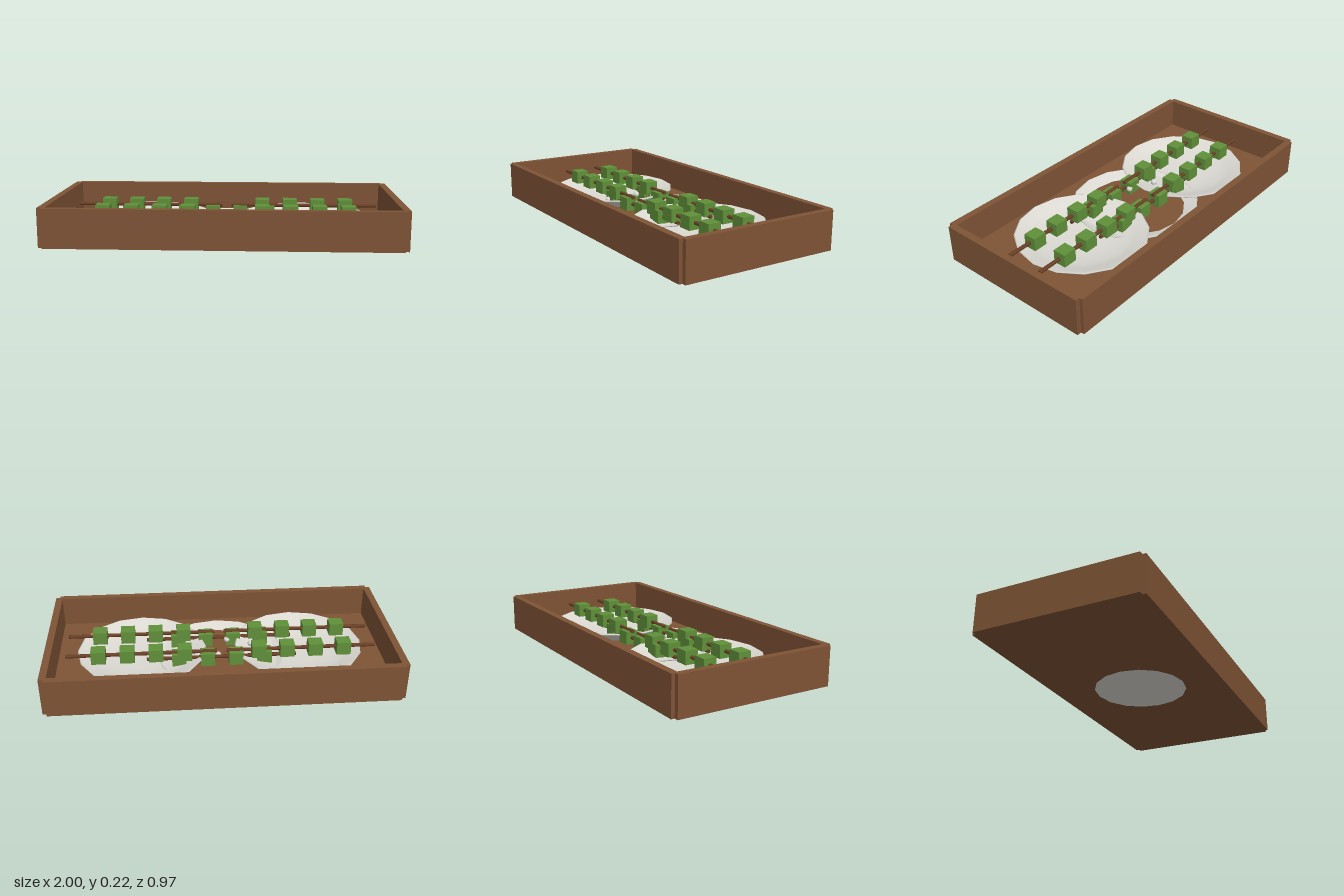
import * as THREE from 'three';

export function createModel() {
  const root = new THREE.Group();
  root.name = 'foodTray';

  const mat = (name, color) => {
    const m = new THREE.MeshStandardMaterial({ color });
    m.name = name;
    return m;
  };
  const wood = mat('wood', 0x7e5335);
  const stick = mat('darkWood', 0x6a4026);
  const ceramic = mat('ceramic', 0xdcdad3);
  const green = mat('green', 0x60903a);
  ceramic.side = THREE.DoubleSide;

  const add = (parent, name, geometry, material, x, y, z) => {
    const mesh = new THREE.Mesh(geometry, material);
    mesh.name = name;
    mesh.position.set(x, y, z);
    parent.add(mesh);
    return mesh;
  };

  // Open box: floor slab and four walls that overlap short of the corners
  const H = 0.22;
  add(root, 'floor', new THREE.BoxGeometry(1.95, 0.04, 0.93), wood, 0, 0.02, 0);
  const longWall = new THREE.BoxGeometry(1.95, H, 0.04);
  const shortWall = new THREE.BoxGeometry(0.04, H, 0.93);
  for (const s of [-1, 1]) {
    add(root, s > 0 ? 'frontWall' : 'backWall', longWall, wood, 0, H / 2, s * 0.465);
    add(root, s > 0 ? 'leftWall' : 'rightWall', shortWall, wood, s * 0.98, H / 2, 0);
  }

  // Shallow plate: flat foot, flared underside, rounded lip, broad rim and well
  const profile = [
    [0, -0.001], [0.268, -0.001], [0.27, 0.001], [0.34, 0.04], [0.373, 0.058],
    [0.377, 0.065], [0.368, 0.069], [0.3, 0.041], [0.26, 0.031],
    [0.2, 0.02], [0.12, 0.014], [0, 0.012],
  ].map(([r, y]) => new THREE.Vector2(r, y));
  const plateGeo = new THREE.LatheGeometry(profile, 16);

  const cubeGeo = new THREE.BoxGeometry(0.083, 0.077, 0.077);
  const stickGeo = new THREE.CylinderGeometry(0.011, 0.011, 0.87, 8).rotateZ(Math.PI / 2);

  // Three servings: one plate with two skewers of four cubes each
  const servings = [
    ['rightServing', -0.4625, 0.04],
    ['middleServing', 0, 0],
    ['leftServing', 0.4625, 0.04],
  ];
  for (const [name, x, y] of servings) {
    const serving = new THREE.Group();
    serving.name = name;
    serving.position.set(x, y, 0);
    root.add(serving);
    add(serving, 'plate', plateGeo, ceramic, 0, 0, 0);
    for (const s of [-1, 1]) {
      const skewer = new THREE.Group();
      skewer.name = s > 0 ? 'frontSkewer' : 'backSkewer';
      skewer.position.set(0, 0.1, s * 0.11);
      serving.add(skewer);
      add(skewer, 'stick', stickGeo, stick, 0, 0, 0);
      for (let i = 0; i < 4; i++) {
        add(skewer, 'cube', cubeGeo, green, (i - 1.5) * 0.165, 0, 0);
      }
    }
  }

  // Scattered grains
  const grainGeo = new THREE.SphereGeometry(0.018, 10, 8);
  const grains = [
    [-0.18, 0.115, 0], [0.02, 0.1, -0.09], [-0.045, 0.1, 0.08],
    [-0.26, 0.085, 0.15], [-0.14, 0.1, -0.095],
  ];
  for (const p of grains) add(root, 'grain', grainGeo, ceramic, ...p);

  return root;
}
